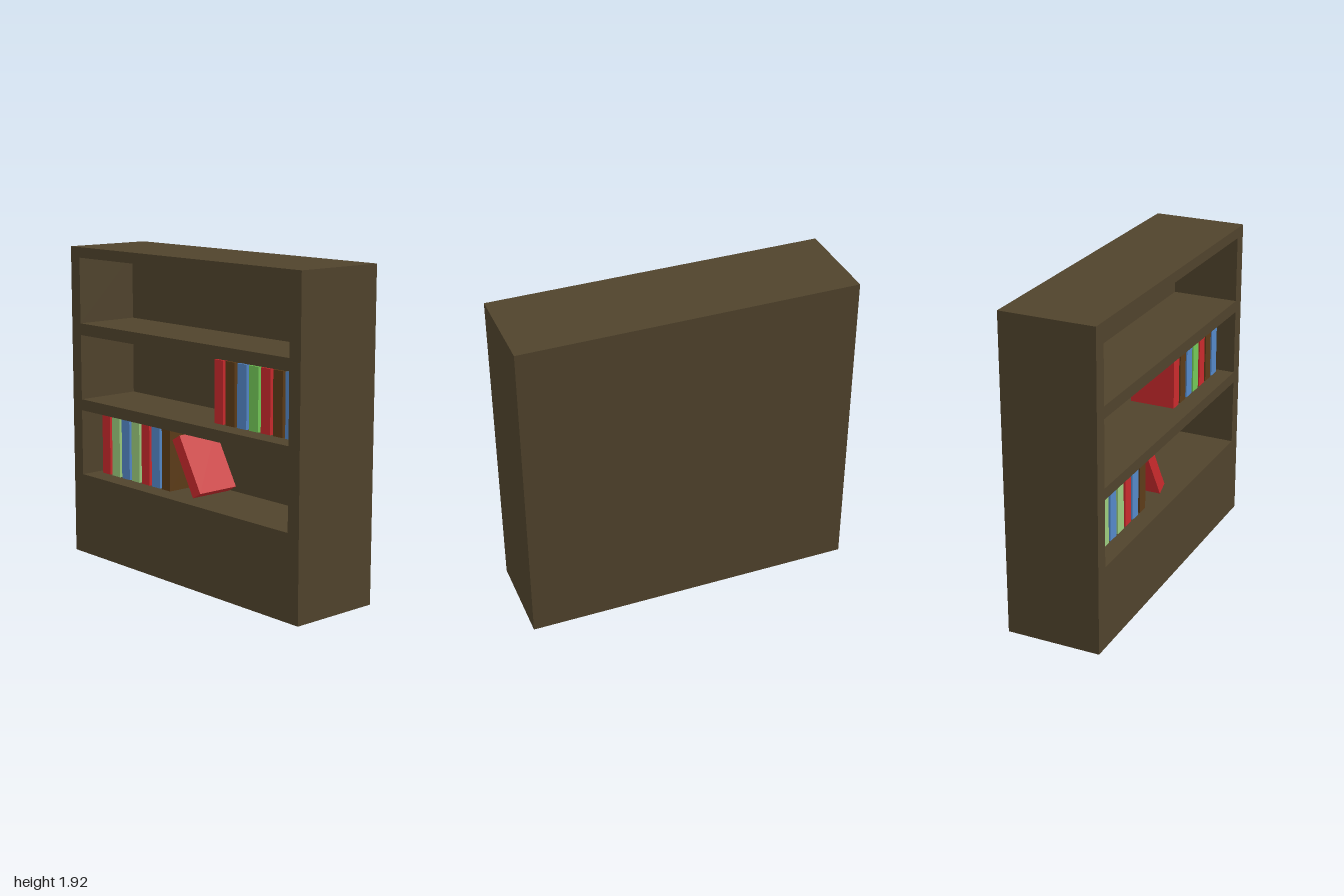
import * as THREE from 'three';

const WIDTH = 2, HEIGHT = 1.92, DEPTH = 0.57;
const RECESS_DEPTH = 0.41, RECESS_HALF = 0.915;
const SHELVES = [[0.505, 0.912], [0.981, 1.382], [1.454, 1.856]];

const material = (color) => new THREE.MeshStandardMaterial({ color, flatShading: true });
const WOOD = material(0x50432c);
const RED = material(0xc92a2c);
const BROWN = material(0x5c3c18);
const BLUE = material(0x5488c8);
const GREEN = material(0x73c858);
const PALE_GREEN = material(0x9bcb7d);

function rectangle(path, x0, y0, x1, y1) {
  path.moveTo(x0, y0);
  path.lineTo(x1, y0);
  path.lineTo(x1, y1);
  path.lineTo(x0, y1);
  path.closePath();
  return path;
}

// Solid case: a front body pierced by the shelf openings, closed by a thick back
function createCase() {
  const bookcase = new THREE.Group();
  bookcase.name = 'case';

  const outline = rectangle(new THREE.Shape(), -WIDTH / 2, 0, WIDTH / 2, HEIGHT);
  for (const [bottom, top] of SHELVES) {
    outline.holes.push(rectangle(new THREE.Path(), -RECESS_HALF, bottom, RECESS_HALF, top));
  }
  const frame = new THREE.Mesh(
    new THREE.ExtrudeGeometry(outline, { depth: RECESS_DEPTH, bevelEnabled: false }), WOOD);
  frame.name = 'shelfFrame';
  frame.position.z = DEPTH / 2 - RECESS_DEPTH;

  const backDepth = DEPTH - RECESS_DEPTH;
  const back = new THREE.Mesh(new THREE.BoxGeometry(WIDTH, HEIGHT, backDepth), WOOD);
  back.name = 'backPanel';
  back.position.set(0, HEIGHT / 2, -DEPTH / 2 + backDepth / 2);

  bookcase.add(frame, back);
  return bookcase;
}

const BOOK = new THREE.BoxGeometry(0.075, 0.368, 0.28);
const BOOK_STEP = 0.0963, BOOK_Z = 0.045;

function createBook(name, color, x, y, tilt = 0) {
  const book = new THREE.Mesh(BOOK, color);
  book.name = name;
  book.position.set(x, y, BOOK_Z);
  book.rotation.z = tilt;
  return book;
}

// Row of upright books, from left to right as seen from the front
function createRow(name, firstX, y, colors) {
  const row = new THREE.Group();
  row.name = name;
  colors.forEach((color, i) => row.add(createBook('book', color, firstX + i * BOOK_STEP, y)));
  return row;
}

export function createModel() {
  const model = new THREE.Group();
  model.name = 'bookcase';
  model.add(
    createCase(),
    createRow('lowerBooks', -0.802, 0.696, [RED, PALE_GREEN, BLUE, PALE_GREEN, RED, BLUE, BROWN]),
    createRow('middleBooks', 0.246, 1.171, [RED, BROWN, BLUE, GREEN, RED, BROWN, BLUE]),
    createBook('leaningBook', RED, -0.039, 0.688, Math.PI / 6),
  );
  return model;
}
